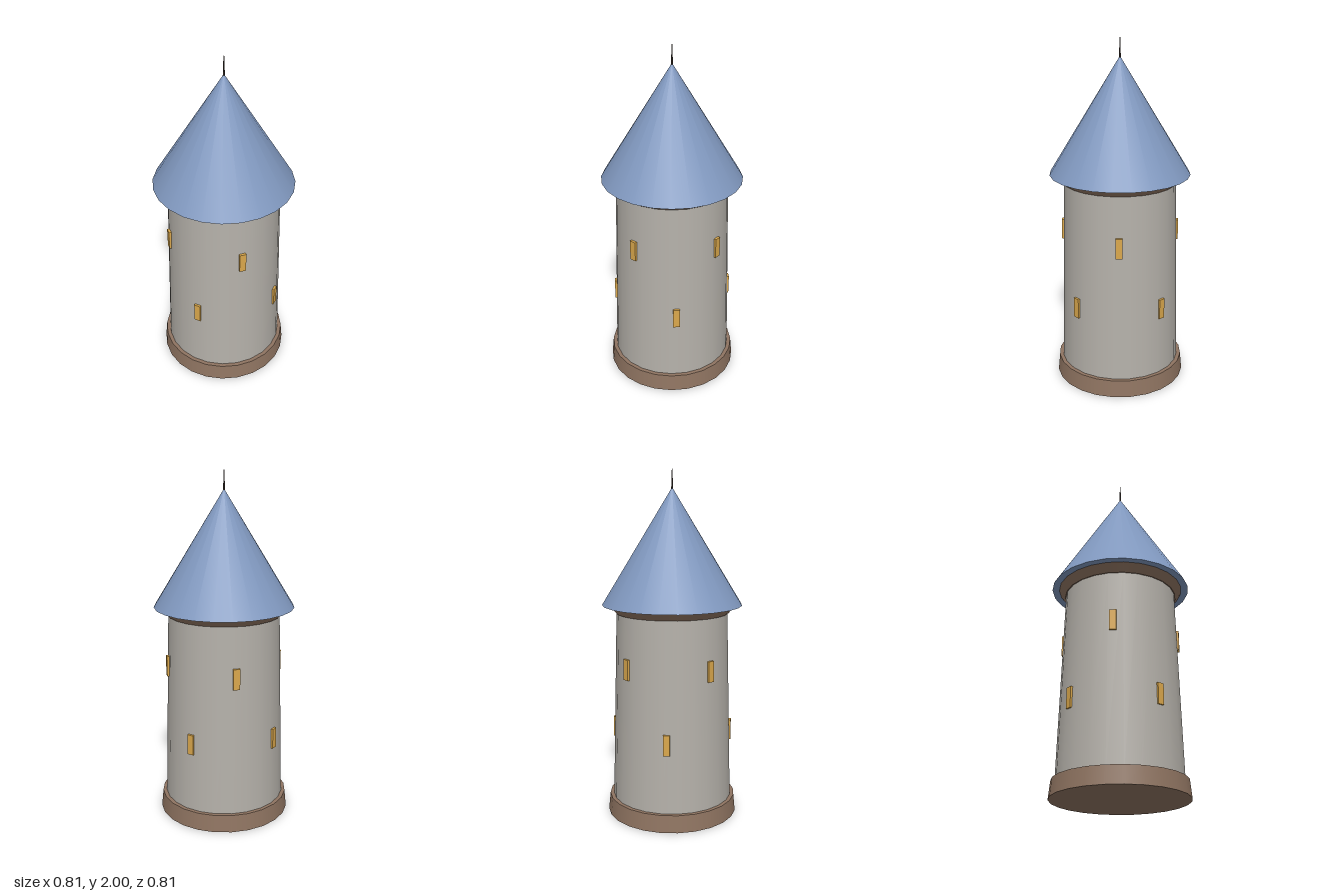
import * as THREE from 'three';

const SIDES = 24;

export function createModel() {
  const model = new THREE.Group();
  model.name = 'roundTower';

  const material = (name, color) => {
    const m = new THREE.MeshStandardMaterial({ color });
    m.name = name;
    return m;
  };
  const stone = material('greyStone', 0xb5b1aa);
  const trim = material('brownTrim', 0x8f7461);
  const slate = material('blueSlate', 0x8199c0);
  const glow = material('amberWindow', 0xdba84c);
  const iron = material('darkIron', 0x40362f);

  const add = (name, geometry, mat, x = 0, y = 0, z = 0) => {
    const mesh = new THREE.Mesh(geometry, mat);
    mesh.name = name;
    mesh.position.set(x, y, z);
    model.add(mesh);
    return mesh;
  };

  // Tapered round section between two heights
  const drum = (name, mat, y0, y1, r0, r1, sides = SIDES) =>
    add(name, new THREE.CylinderGeometry(r1, r0, y1 - y0, sides), mat, 0, (y0 + y1) / 2, 0);

  drum('foundation', trim, 0, 0.1, 0.382, 0.372);
  drum('towerWall', stone, 0.05, 1.22, 0.351, 0.32);
  drum('cornice', trim, 1.195, 1.242, 0.326, 0.364);

  // Conical roof, closed underneath, with a needle on top
  add('roof', new THREE.ConeGeometry(0.403, 0.66, SIDES), slate, 0, 1.57, 0);
  drum('finial', iron, 1.88, 2.0, 0.006, 0.002, 8);

  // Two rings of slit windows, four in each
  const windowGeometry = new THREE.BoxGeometry(0.038, 0.118, 0.03);
  const rings = [
    { name: 'lowerWindow', y: 0.5, radius: 0.348, start: 0.345 },
    { name: 'upperWindow', y: 0.9, radius: 0.339, start: -0.436 },
  ];
  for (const { name, y, radius, start } of rings) {
    for (let i = 0; i < 4; i++) {
      const angle = start + (i * Math.PI) / 2;
      const r = radius - 0.015;
      const pane = add(name + (i + 1), windowGeometry, glow, Math.sin(angle) * r, y, Math.cos(angle) * r);
      pane.rotation.y = angle;
    }
  }

  return model;
}
